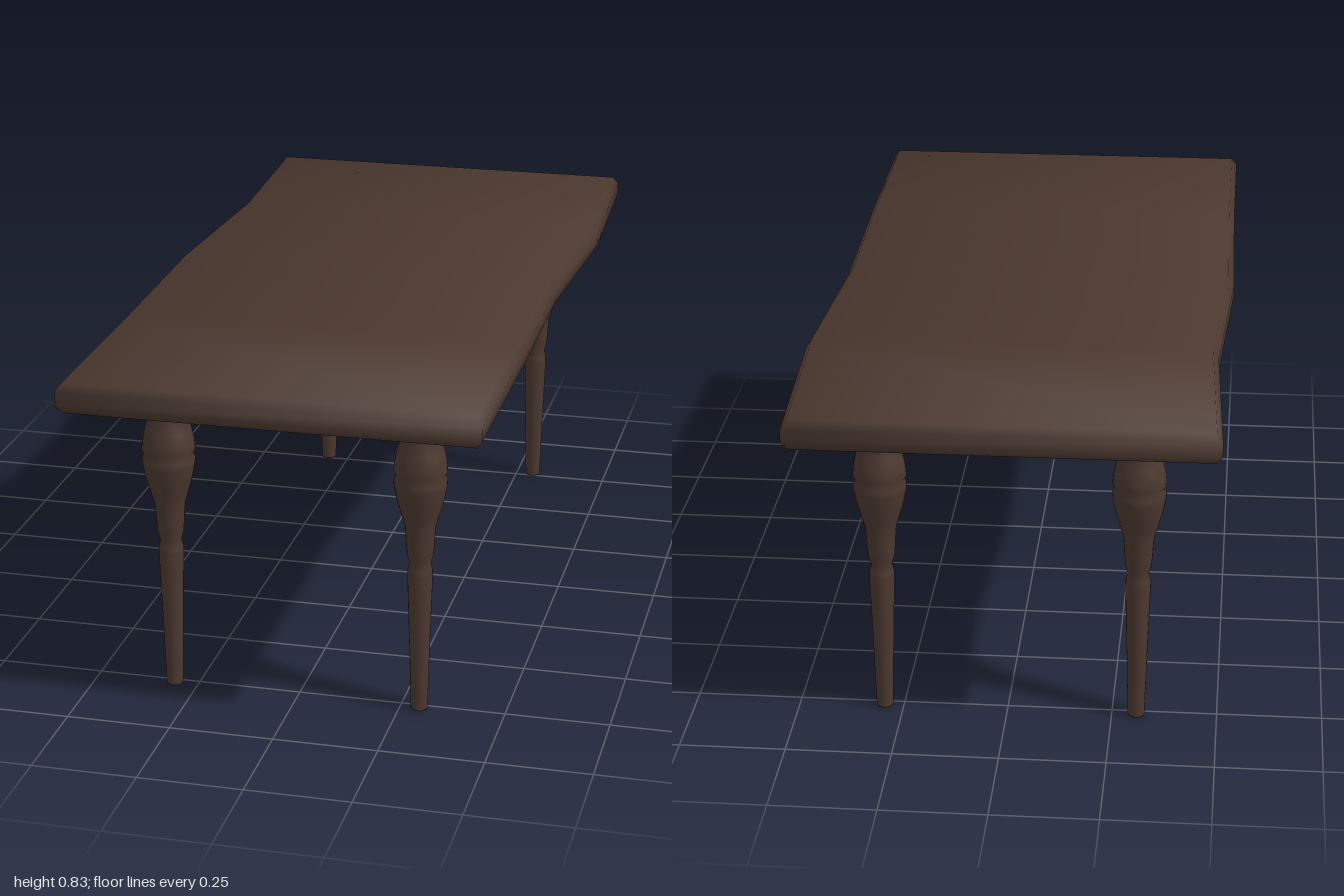
import * as THREE from 'three';

const wood = new THREE.MeshStandardMaterial({ color: 0x4b382f });
wood.name = 'dark wood';

// Slab with a gently wavy long edge, bevelled rims and soft shading
function tabletopGeometry() {
  const zs = [-1, -0.5, 0, 0.5, 1];
  const shift = [0, 0.02, -0.008, -0.001, 0];
  const levels = [ // height, inset, upward part of the normal
    [0.76, 0.014, -1.9], [0.781, 0, -0.4], [0.813, 0, 0.4], [0.833, 0.014, 1.9],
  ];
  const pos = [], nor = [], idx = [];
  const count = zs.length, ring = count * 2;
  for (const [y, inset, up] of levels) {
    for (let k = 0; k < ring; k++) {
      const side = k < count ? -1 : 1;
      const i = k < count ? k : ring - 1 - k;
      const end = i === 0 ? -1 : i === count - 1 ? 1 : 0;
      pos.push(-0.008 + shift[i] + side * (0.491 - inset), y, zs[i] - end * inset);
      const n = new THREE.Vector3(side * 0.85, up, end * 0.85).normalize();
      nor.push(n.x, n.y, n.z);
    }
  }
  // Rim bands
  for (let l = 0; l < levels.length - 1; l++) {
    for (let k = 0; k < ring; k++) {
      const a = l * ring + k, b = l * ring + (k + 1) % ring;
      idx.push(a, b, b + ring, a, b + ring, a + ring);
    }
  }
  // Underside and top, strip by strip
  const t = (levels.length - 1) * ring;
  for (let i = 0; i < count - 1; i++) {
    const l0 = i, l1 = i + 1, r0 = ring - 1 - i, r1 = ring - 2 - i;
    idx.push(t + l0, t + l1, t + r1, t + l0, t + r1, t + r0);
    idx.push(l0, r1, l1, l0, r0, r1);
  }
  const g = new THREE.BufferGeometry();
  g.setAttribute('position', new THREE.Float32BufferAttribute(pos, 3));
  g.setAttribute('normal', new THREE.Float32BufferAttribute(nor, 3));
  g.setIndex(idx);
  return g;
}

// Turned leg profile: radius, height
const legProfile = [
  [0, 0], [0.019, 0], [0.02, 0.004], [0.025, 0.19], [0.03, 0.345], [0.029, 0.36],
  [0.025, 0.375], [0.031, 0.398], [0.033, 0.42], [0.036, 0.47], [0.045, 0.5],
  [0.055, 0.535], [0.062, 0.57], [0.063, 0.585], [0.058, 0.597], [0.063, 0.606],
  [0.061, 0.63], [0.055, 0.66], [0.045, 0.69], [0.046, 0.765],
].map(([r, y]) => new THREE.Vector2(r, y));

export function createModel() {
  const table = new THREE.Group();
  table.name = 'table';

  const top = new THREE.Mesh(tabletopGeometry(), wood);
  top.name = 'tabletop';
  table.add(top);

  // Four turned legs
  const legGeometry = new THREE.LatheGeometry(legProfile, 24);
  for (const [zName, z] of [['front', 0.765], ['back', -0.765]]) {
    for (const [xName, x] of [['Left', 0.296], ['Right', -0.308]]) {
      const leg = new THREE.Mesh(legGeometry, wood);
      leg.name = `${zName}${xName}Leg`;
      leg.position.set(x, 0, z);
      table.add(leg);
    }
  }
  return table;
}
